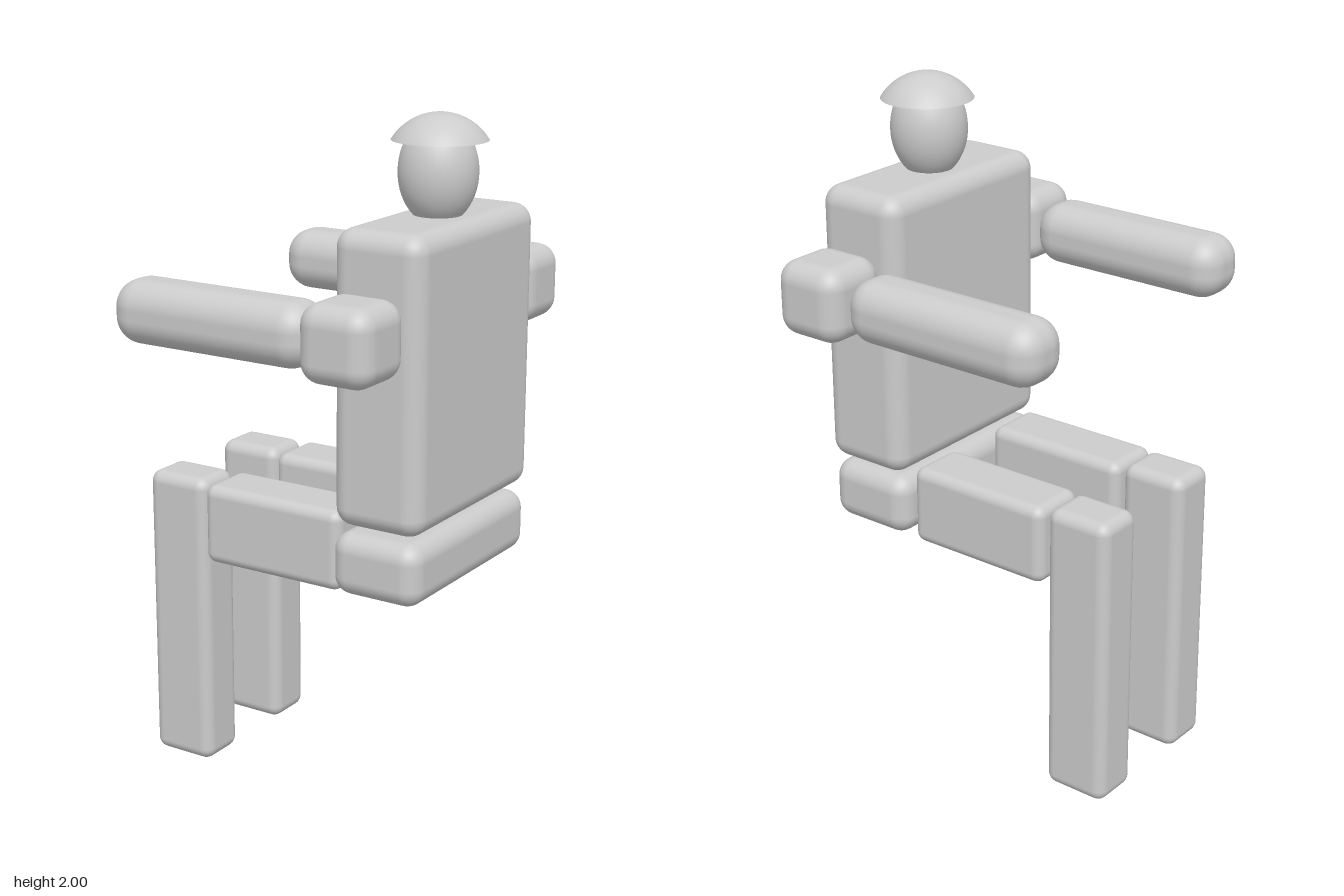
import * as THREE from 'three';
import { RoundedBoxGeometry } from 'three/addons/geometries/RoundedBoxGeometry.js';

const material = new THREE.MeshStandardMaterial({ color: 0xcccccc });
const thinMaterial = new THREE.MeshStandardMaterial({ color: 0xcccccc, side: THREE.DoubleSide });

// Rounded block given by its [min, max] extents on each axis
function block(name, [x0, x1], [y0, y1], [z0, z1], radius) {
  const geometry = new RoundedBoxGeometry(x1 - x0, y1 - y0, z1 - z0, 5, radius);
  const mesh = new THREE.Mesh(geometry, material);
  mesh.name = name;
  mesh.position.set((x0 + x1) / 2, (y0 + y1) / 2, (z0 + z1) / 2);
  return mesh;
}

export function createModel() {
  const model = new THREE.Group();
  model.name = 'seatedFigure';

  // Trunk: the figure sits facing -x
  model.add(block('torso', [0.2, 0.482], [0.88, 1.72], [-0.33, 0.328], 0.055));
  model.add(block('hips', [0.2, 0.482], [0.678, 0.863], [-0.32, 0.335], 0.055));

  // Limbs, one set on each side
  for (const [side, s] of [['left', 1], ['right', -1]]) {
    const span = (a, b) => (s > 0 ? [a, b] : [-b, -a]);
    model.add(block(side + 'Shoulder', [0.23, 0.455], [1.342, 1.562], span(0.332, 0.553), 0.06));
    model.add(block(side + 'Arm', [-0.417, 0.235], [1.355, 1.54], span(0.334, 0.521), 0.078));
    model.add(block(side + 'Thigh', [-0.273, 0.197], [0.66, 0.9], span(0.091, 0.278), 0.032));
    model.add(block(side + 'Shin', [-0.488, -0.281], [0, 0.905], span(0.104, 0.263), 0.035));
  }

  // Egg-shaped head sunk slightly into the torso
  const head = new THREE.Mesh(new THREE.SphereGeometry(1, 40, 28), material);
  head.name = 'head';
  head.scale.set(0.112, 0.15, 0.112);
  head.position.set(0.342, 1.838, -0.002);
  model.add(head);

  // Shallow open dome as a cap
  const capRadius = 0.159;
  const capAngle = Math.asin(0.135 / capRadius);
  const cap = new THREE.Mesh(
    new THREE.SphereGeometry(capRadius, 48, 14, 0, Math.PI * 2, 0, capAngle), thinMaterial);
  cap.name = 'cap';
  cap.position.set(0.345, 2 - capRadius, -0.004);
  model.add(cap);

  return model;
}
